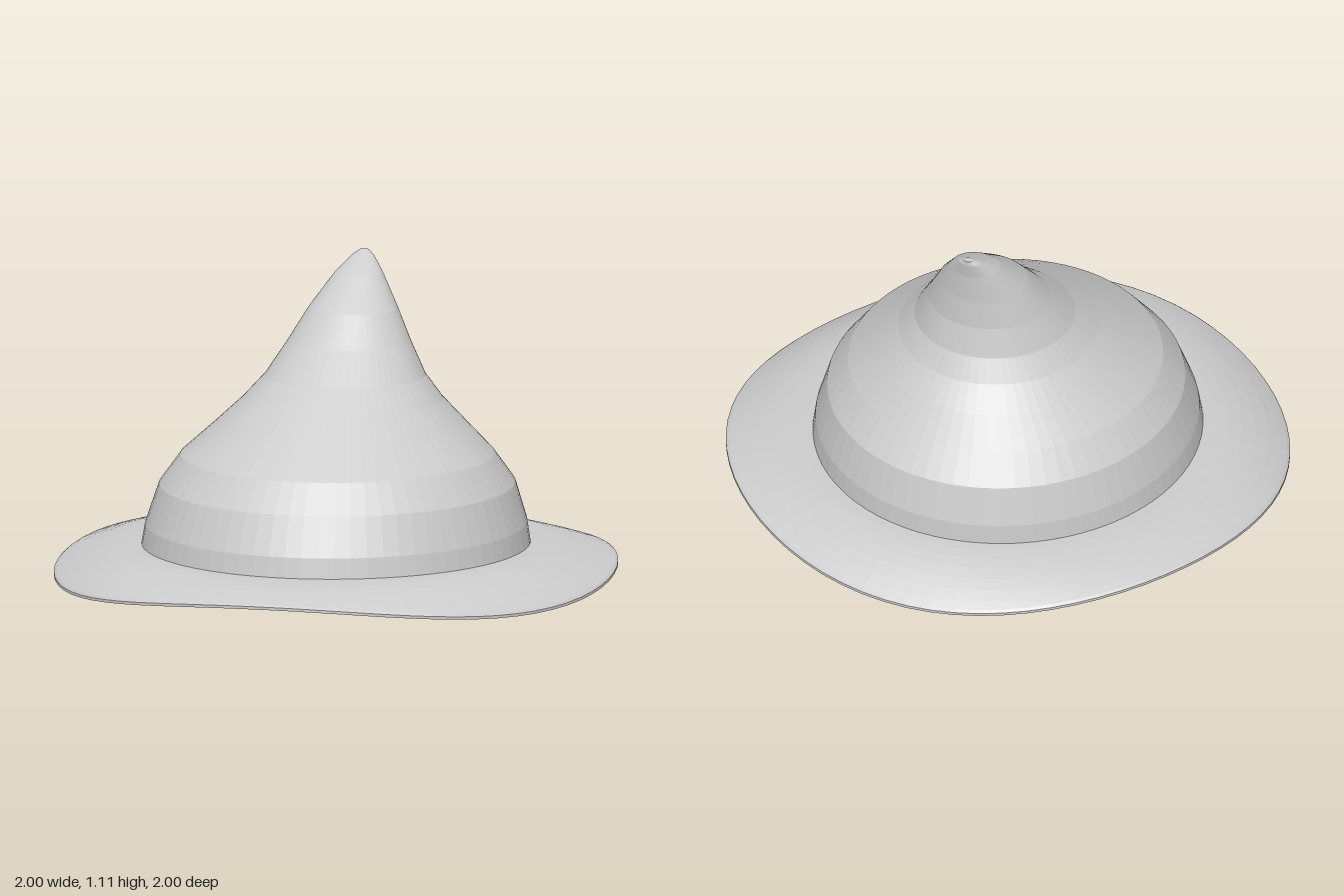
import * as THREE from 'three';

const SEGMENTS = 72;

// Joins a list of closed rings; each ring is a function angle -> [x, y, z].
// Angle 0 is the front and grows towards +x.
function loft(rings) {
  const positions = [];
  const indices = [];
  rings.forEach((ring) => {
    for (let j = 0; j <= SEGMENTS; j++) positions.push(...ring((j / SEGMENTS) * Math.PI * 2));
  });
  const row = SEGMENTS + 1;
  for (let i = 0; i < rings.length - 1; i++) {
    for (let j = 0; j < SEGMENTS; j++) {
      const a = i * row + j;
      indices.push(a, a + 1, a + row, a + 1, a + row + 1, a + row);
    }
  }
  const geometry = new THREE.BufferGeometry();
  geometry.setAttribute('position', new THREE.Float32BufferAttribute(positions, 3));
  geometry.setIndex(indices);
  geometry.computeVertexNormals();
  return geometry;
}

// Crown cross-sections: height, half width, front z, back z
const CROWN = [
  [0.11, 0.69, 0.725, -0.725],
  [0.2, 0.675, 0.71, -0.72],
  [0.34, 0.63, 0.65, -0.685],
  [0.445, 0.555, 0.56, -0.605],
  [0.545, 0.445, 0.41, -0.53],
  [0.63, 0.355, 0.28, -0.46],
  [0.71, 0.285, 0.16, -0.415],
  [0.82, 0.22, 0.02, -0.39],
  [0.93, 0.16, -0.09, -0.386],
  [1.04, 0.088, -0.24, -0.392],
  [1.095, 0.04, -0.345, -0.402],
  [1.112, 0.016, -0.375, -0.402],
  [1.114, 0, -0.39, -0.39],
];

// Horizontal ellipse for one crown cross-section, shrunk by inset
function crownRing([y, halfWidth, front, back], inset = 0) {
  const centre = (front + back) / 2;
  const rx = Math.max(0, halfWidth - inset);
  const rz = Math.max(0, (front - back) / 2 - inset);
  return (t) => [rx * Math.sin(t), y, centre + rz * Math.cos(t)];
}

function crownGeometry() {
  const inside = CROWN.slice(0, 9).map((section) => crownRing(section, 0.05));
  const ceiling = crownRing([0.95, 0, -0.24, -0.24]);
  // Down the lining, across the lower rim, then up the outside to the tip
  return loft([ceiling, ...inside.reverse(), ...CROWN.map((section) => crownRing(section))]);
}

// Ring of the brim at t = 0 (crown) to 1 (edge); three waves grow towards the edge
function brimRing(t, drop) {
  const rx = THREE.MathUtils.lerp(0.685, 1, t);
  const rz = THREE.MathUtils.lerp(0.72, 1, t);
  return (a) => [
    rx * Math.sin(a),
    0.128 - drop + t * t * (-0.082 + 0.031 * Math.cos(3 * a)),
    rz * Math.cos(a),
  ];
}

function brimGeometry() {
  const steps = [0, 0.15, 0.3, 0.45, 0.6, 0.75, 0.88, 0.97];
  const under = steps.map((t) => brimRing(t, 0.016));
  const top = steps.map((t) => brimRing(t, 0)).reverse();
  // Underside outwards, around the rounded edge, top inwards, back to the start
  return loft([...under, brimRing(1, 0.013), brimRing(1, 0.003), ...top, under[0]]);
}

export function createModel() {
  const felt = new THREE.MeshStandardMaterial({ color: 0xcccccc, flatShading: true });
  felt.name = 'greyFelt';

  const hat = new THREE.Group();
  hat.name = 'pointedHat';

  const crown = new THREE.Mesh(crownGeometry(), felt);
  crown.name = 'crown';
  const brim = new THREE.Mesh(brimGeometry(), felt);
  brim.name = 'brim';

  hat.add(crown, brim);
  return hat;
}
